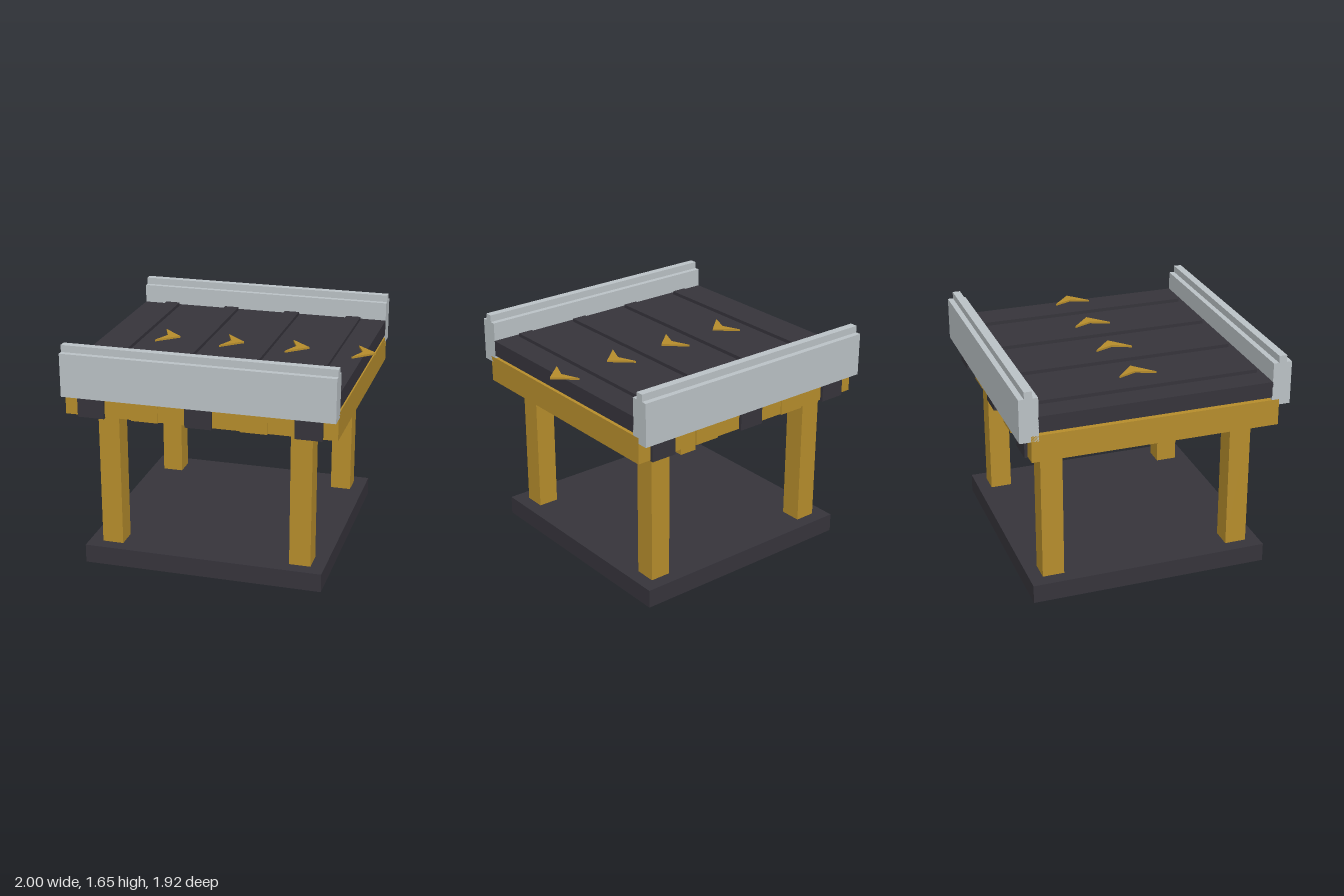
import * as THREE from 'three';

export function createModel() {
  const model = new THREE.Group();
  model.name = 'conveyorTable';
  const gold = new THREE.MeshStandardMaterial({ name: 'ochre', color: 0xb68d2c });
  const dark = new THREE.MeshStandardMaterial({ name: 'charcoal', color: 0x36343b });
  const grey = new THREE.MeshStandardMaterial({ name: 'light grey', color: 0xbbc2c6 });

  const add = (name, geometry, material) => {
    const mesh = new THREE.Mesh(geometry, material);
    mesh.name = name;
    model.add(mesh);
    return mesh;
  };
  // Box given by its limits; symmetric in z unless z0 is given
  const box = (name, material, x0, x1, y0, y1, z1, z0 = -z1) => {
    const mesh = add(name, new THREE.BoxGeometry(x1 - x0, y1 - y0, z1 - z0), material);
    mesh.position.set((x0 + x1) / 2, (y0 + y1) / 2, (z0 + z1) / 2);
    return mesh;
  };

  // Floor slab and four legs
  box('base', dark, -0.905, 0.825, 0, 0.135, 0.865);
  for (const x of [-0.73, 0.65])
    for (const z of [-0.69, 0.69])
      box('leg', gold, x - 0.076, x + 0.076, 0.135, 1.15, z + 0.078, z - 0.078);

  // Support frame with cross beams
  box('frame', gold, -1, 0.92, 1.14, 1.33, 0.88);
  for (const x of [-0.81, -0.04, 0.725])
    box('darkBeam', dark, x - 0.095, x + 0.095, 1.133, 1.31, 0.902);
  for (const x of [-0.425, 0.345])
    box('joist', gold, x - 0.095, x + 0.095, 1.136, 1.31, 0.888);

  // Belt with raised slats
  box('belt', dark, -1, 0.92, 1.35, 1.465, 0.83);
  for (let i = 0; i < 4; i++) {
    const x = -0.765 + i * 0.481;
    box('slat', dark, x - 0.055, x + 0.055, 1.46, 1.49, 0.788);
  }

  // Direction arrows, the last one overhanging the belt end
  const arrow = new THREE.Shape([[0, 0.135], [0.055, 0], [0, -0.135], [0.15, 0]]
    .map(([x, y]) => new THREE.Vector2(x, y)));
  const arrowGeometry = new THREE.ExtrudeGeometry(arrow, { depth: 0.014, bevelEnabled: false });
  arrowGeometry.rotateX(-Math.PI / 2);
  for (let i = 0; i < 4; i++)
    add('arrow', arrowGeometry, gold).position.set(-0.6 + i * 0.4833, 1.465, 0);

  // Side rails with a stepped top, one profile swept along x
  const profile = new THREE.Shape([
    [-0.067, 1.29], [0.067, 1.29], [0.067, 1.6], [0.028, 1.6],
    [0.028, 1.65], [-0.028, 1.65], [-0.028, 1.6], [-0.067, 1.6],
  ].map(([x, y]) => new THREE.Vector2(x, y)));
  const railGeometry = new THREE.ExtrudeGeometry(profile, { depth: 1.92, bevelEnabled: false });
  railGeometry.rotateY(Math.PI / 2);
  for (const side of [-1, 1])
    add(side > 0 ? 'frontRail' : 'backRail', railGeometry, grey).position.set(-1, 0, side * 0.893);

  return model;
}
